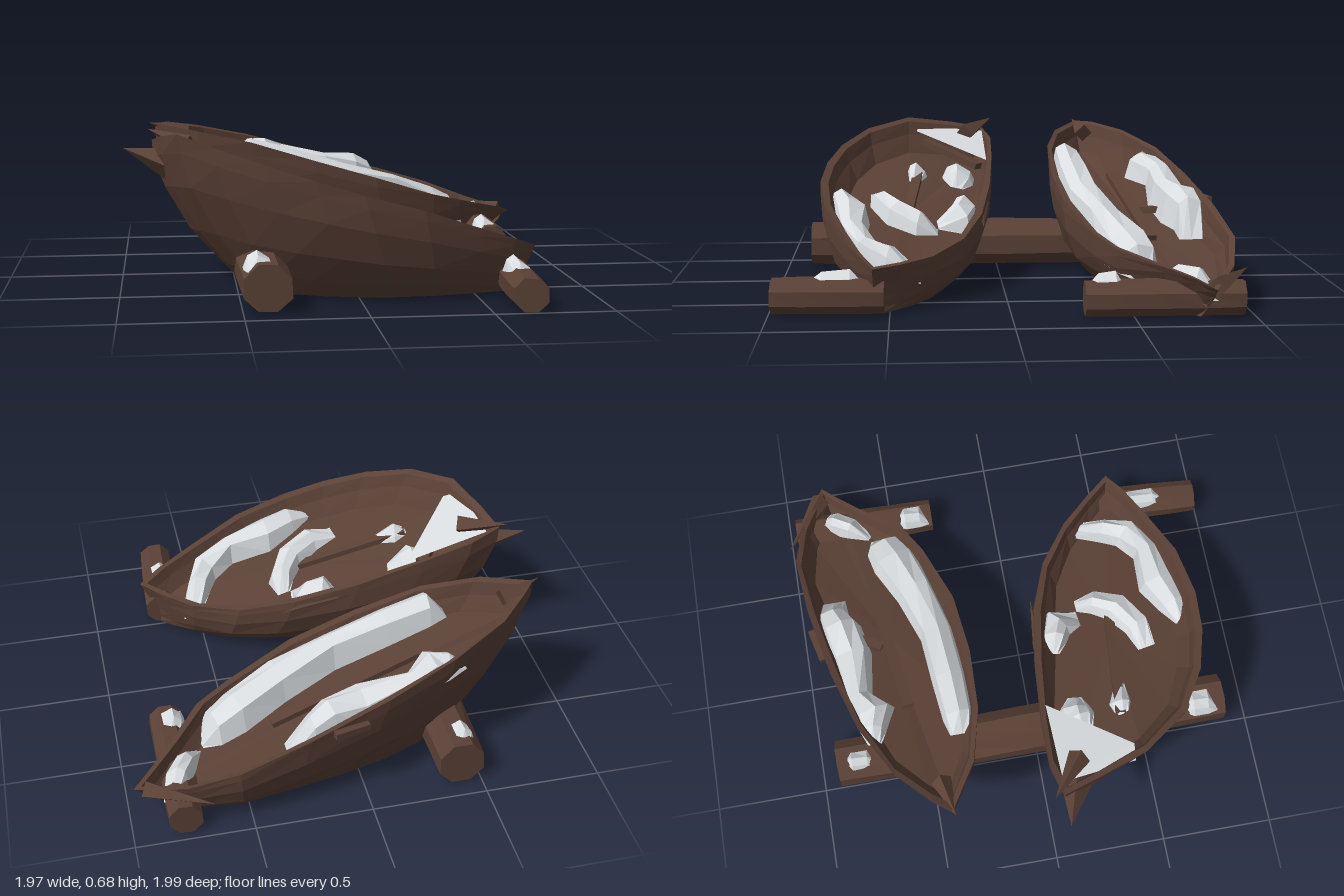
import * as THREE from 'three';

const wood = new THREE.MeshStandardMaterial({ color: 0x5b4136 });
wood.name = 'weathered wood';
const white = new THREE.MeshStandardMaterial({ color: 0xd9dde0, side: THREE.DoubleSide });
white.name = 'snow';

const V = (x, y, z) => new THREE.Vector3(x, y, z);
const wobble = (a, b) => Math.sin(a * 12.9 + b * 7.3) * Math.cos(a * 4.1 - b * 9.7);

// Faceted surface through rows of points
function loft(rows, closed) {
  const n = rows[0].length, pos = [];
  const tri = (...p) => p.forEach(v => pos.push(v.x, v.y, v.z));
  for (let i = 0; i < rows.length - 1; i++) {
    for (let j = 0; j < (closed ? n : n - 1); j++) {
      const k = (j + 1) % n;
      const a = rows[i][j], b = rows[i][k], c = rows[i + 1][k], d = rows[i + 1][j];
      if (a.distanceTo(b) > 1e-5) tri(a, b, c);
      if (c.distanceTo(d) > 1e-5) tri(a, c, d);
    }
  }
  const g = new THREE.BufferGeometry();
  g.setAttribute('position', new THREE.Float32BufferAttribute(pos, 3));
  g.computeVertexNormals();
  return g;
}

function add(group, name, geometry, material) {
  const m = new THREE.Mesh(geometry, material);
  m.name = name;
  group.add(m);
  return m;
}

// Hull from its rim (counter-clockwise from above), with a flat keel and a sunken floor
function hull(group, name, rim, axis, keel, depth) {
  const minX = Math.min(...rim.map(p => p[0])), maxX = Math.max(...rim.map(p => p[0]));
  const foot = rim.map(([x, , z]) => {
    const bx = THREE.MathUtils.mapLinear(x, minX, maxX, keel[0], keel[1]);
    return V(bx, 0, axis(bx) + (z - axis(x)) * 0.5);
  });
  const top = rim.map(p => V(...p));
  const average = loop => loop.reduce((s, p) => s.add(p), V(0, 0, 0)).divideScalar(loop.length);
  const rows = [foot.map(() => average(foot)), foot];
  // full sides, a rounded bow and an overhanging stern tip
  for (const t of [0.14, 0.36, 0.66, 0.88]) {
    const side = 1 - (1 - t) ** 2.9, bow = 1 - (1 - t) ** 1.9, stern = t ** 1.5;
    rows.push(top.map((p, j) => {
      const f = foot[j], e = 0.02 * wobble(j, t * 5);
      const along = THREE.MathUtils.mapLinear(p.x, minX, maxX, 0, 1);
      const kx = bow + (stern - bow) * along;
      return V(f.x + (p.x - f.x) * (kx + e), p.y * t, f.z + (p.z - f.z) * (side + e));
    }));
  }
  rows.push(top);
  const mid = average(top);
  // inner loops: rim edge, wall and floor
  const inset = (d, drop) => top.map(p => {
    const v = mid.clone().sub(p);
    const q = p.clone().addScaledVector(v, d / v.length());
    q.y -= drop;
    return q;
  });
  rows.push(inset(0.035, 0.005), inset(0.055, 0.06), inset(0.11, depth));
  const centre = mid.clone();
  centre.y -= depth;
  rows.push(top.map(() => centre));
  add(group, name, loft(rows, true), wood);
}

// Snow drift along points [x, z, half width, height above the base surface]
function drift(group, name, base, pts, skirt) {
  const rows = pts.map(([x, z, w, h], i) => {
    const a = pts[Math.max(0, i - 1)], b = pts[Math.min(pts.length - 1, i + 1)];
    const l = Math.hypot(b[0] - a[0], b[1] - a[1]);
    const sx = -(b[1] - a[1]) / l, sz = (b[0] - a[0]) / l;
    const end = i === 0 || i === pts.length - 1;
    return [-1, -0.75, 0.1, 0.7, 1].map((s, j) => {
      const px = x + sx * s * w, pz = z + sz * s * w;
      const lift = end || j === 0 || j === 4 ? -skirt : h - (j === 2 ? 0 : 0.025 + 0.015 * wobble(i, j));
      return V(px, base(px, pz) + lift, pz);
    });
  });
  add(group, name, loft(rows, false), white);
}

// Rough log between two points, swelling slightly in the middle
function log(group, name, a, b, r) {
  const length = a.distanceTo(b);
  const g = new THREE.CylinderGeometry(r, r, length, 8, 4).toNonIndexed();
  g.rotateY(Math.PI / 8);
  const p = g.attributes.position;
  for (let i = 0; i < p.count; i++) {
    const swell = 0.08 * (1 - (2 * p.getY(i) / length) ** 2);
    const k = 1 + swell + 0.05 * wobble(p.getX(i) * 9, p.getY(i) * 3 + p.getZ(i) * 8);
    p.setX(i, p.getX(i) * k);
    p.setZ(i, p.getZ(i) * k);
  }
  g.rotateX(Math.PI / 2);
  g.lookAt(b.clone().sub(a));
  g.translate((a.x + b.x) / 2, (a.y + b.y) / 2, (a.z + b.z) / 2);
  for (let i = 0; i < p.count; i++) p.setY(i, Math.max(0, p.getY(i)));
  g.computeVertexNormals();
  add(group, name, g, wood);
}

// Straight board between two points
function board(group, name, a, b, w, h) {
  const m = add(group, name, new THREE.BoxGeometry(w, h, a.distanceTo(b)), wood);
  m.position.copy(a).lerp(b, 0.5);
  m.lookAt(b);
}

// Pointed splinter of broken wood
function splinter(group, name, base, tip, r) {
  const g = new THREE.ConeGeometry(r, base.distanceTo(tip), 4).toNonIndexed();
  g.rotateX(Math.PI / 2);
  g.computeVertexNormals();
  const m = add(group, name, g, wood);
  m.position.copy(base).lerp(tip, 0.5);
  m.lookAt(tip);
}

export function createModel() {
  const model = new THREE.Group();
  model.name = 'boats on logs';

  // Supporting logs
  const logs = new THREE.Group();
  logs.name = 'logs';
  log(logs, 'longLog', V(-0.41, 0.103, -0.92), V(-0.4, 0.103, 0.89), 0.105);
  log(logs, 'backShortLog', V(0.78, 0.07, -0.96), V(0.775, 0.07, -0.3), 0.075);
  log(logs, 'frontShortLog', V(0.68, 0.07, 0.52), V(0.65, 0.07, 0.99), 0.075);
  for (const [x, z, len, w, y] of [[-0.43, -0.81, 0.08, 0.05, 0.2], [-0.43, 0.78, 0.08, 0.065, 0.2], [0.755, -0.39, 0.08, 0.055, 0.145], [0.655, 0.73, 0.13, 0.05, 0.145]])
    drift(logs, 'logSnow', () => y, [[x, z - len, w * 0.6, 0], [x, z - len * 0.5, w, 0.035], [x, z + len * 0.4, w, 0.025], [x - 0.01, z + len, w * 0.7, 0]], 0.035);
  model.add(logs);

  // Front boat
  const front = new THREE.Group();
  front.name = 'frontBoat';
  const frontPlane = (x, z) => 0.354 - 0.309 * x + 0.142 * z;
  hull(front, 'frontHull', [
    [-0.86, 0.62, 0.05], [-0.82, 0.65, 0.2], [-0.75, 0.68, 0.42], [-0.6, 0.64, 0.62], [-0.4, 0.58, 0.74],
    [-0.2, 0.52, 0.8], [0, 0.46, 0.82], [0.25, 0.39, 0.79], [0.5, 0.3, 0.7], [0.67, 0.24, 0.63], [0.77, 0.2, 0.57],
    [0.68, 0.2, 0.46], [0.55, 0.21, 0.32], [0.35, 0.25, 0.18], [0.1, 0.32, 0.09], [-0.2, 0.41, 0.04],
    [-0.5, 0.51, 0.015], [-0.72, 0.58, 0.01]
  ], x => 0.4 + 0.15 * x, [-0.47, 0.7], 0.13);
  splinter(front, 'bowSplinter', V(-0.76, 0.51, 0.12), V(-0.99, 0.585, 0.05), 0.08);
  splinter(front, 'bowPost', V(-0.7, 0.6, 0.14), V(-0.88, 0.665, 0), 0.05);
  board(front, 'floorPlank', V(-0.5, 0.45, 0.37), V(0.02, 0.29, 0.43), 0.045, 0.025);
  splinter(front, 'sideSplinter', V(-0.1, 0.34, 0.08), V(0.17, 0.27, 0.085), 0.03);
  board(front, 'bowSeat', V(-0.71, 0.56, 0.34), V(-0.5, 0.46, 0.08), 0.05, 0.03);
  // flat sheet of snow lying on the bow seat
  const sheet = [[V(-0.8, 0.605, 0.05), V(-0.77, 0.635, 0.37)], [V(-0.42, 0.5, 0.045), V(-0.69, 0.615, 0.38)]];
  add(front, 'bowSeatSnow', loft(sheet, false), white);
  const frontDrifts = [
    [[-0.55, 0.2, 0.04, -0.1], [-0.48, 0.18, 0.08, -0.05], [-0.43, 0.18, 0.07, -0.06], [-0.37, 0.19, 0.03, -0.1]],
    [[-0.12, 0.14, 0.03, -0.06], [-0.05, 0.16, 0.06, -0.01], [0.03, 0.19, 0.08, -0.02], [0.04, 0.29, 0.04, -0.08]],
    [[0.11, 0.29, 0.03, -0.1], [0.11, 0.37, 0.06, -0.04], [0.05, 0.47, 0.07, -0.03], [-0.07, 0.54, 0.06, -0.05], [-0.19, 0.56, 0.04, -0.1]],
    [[-0.12, 0.75, 0.02, -0.06], [0, 0.72, 0.06, -0.03], [0.13, 0.68, 0.085, -0.01], [0.32, 0.67, 0.06, -0.01], [0.45, 0.6, 0.07, -0.02], [0.5, 0.5, 0.06, -0.02], [0.55, 0.36, 0.04, -0.05]],
    [[-0.52, 0.38, 0.03, -0.09], [-0.45, 0.38, 0.05, -0.06], [-0.33, 0.4, 0.02, -0.1]]
  ];
  for (const d of frontDrifts) drift(front, 'frontSnow', frontPlane, d, 0.125);
  model.add(front);

  // Back boat
  const back = new THREE.Group();
  back.name = 'backBoat';
  const backPlane = x => 0.45 - 0.31 * x;
  hull(back, 'backHull', [
    [-0.85, 0.65, -0.43], [-0.65, 0.62, -0.31], [-0.4, 0.57, -0.25], [-0.1, 0.48, -0.24], [0.2, 0.39, -0.27],
    [0.5, 0.29, -0.37], [0.65, 0.25, -0.45], [0.8, 0.2, -0.63], [0.9, 0.17, -0.74], [0.975, 0.14, -0.81],
    [0.77, 0.2, -0.92], [0.55, 0.28, -0.97], [0.25, 0.37, -0.94], [-0.1, 0.47, -0.87], [-0.4, 0.56, -0.78],
    [-0.65, 0.62, -0.65], [-0.79, 0.65, -0.51]
  ], x => -0.6 - 0.2 * x, [-0.45, 0.83], 0.12);
  splinter(back, 'bowPost', V(-0.7, 0.6, -0.46), V(-0.88, 0.655, -0.42), 0.045);
  splinter(back, 'sternSplinter', V(0.92, 0.14, -0.82), V(0.66, 0.17, -1), 0.045);
  board(back, 'floorPlank', V(-0.3, 0.44, -0.55), V(0.36, 0.245, -0.64), 0.05, 0.025);
  board(back, 'crossPlank', V(0.04, 0.32, -0.63), V(0.13, 0.34, -0.8), 0.04, 0.03);
  board(back, 'sideSplinter', V(0, 0.38, -0.9), V(0.15, 0.38, -0.935), 0.03, 0.03);
  const backDrifts = [
    [[-0.46, -0.72, 0.03, -0.06], [-0.39, -0.72, 0.06, -0.03], [-0.31, -0.7, 0.09, 0], [-0.22, -0.76, 0.06, -0.01], [0, -0.77, 0.09, 0.01], [0.15, -0.8, 0.09, 0.05], [0.23, -0.83, 0.07, 0.03], [0.33, -0.83, 0.06, -0.06]],
    [[-0.48, -0.34, 0.05, -0.02], [-0.4, -0.34, 0.07, 0.01], [-0.2, -0.35, 0.08, 0.02], [0.05, -0.37, 0.08, 0.02], [0.3, -0.44, 0.09, 0.03], [0.5, -0.51, 0.11, 0.02], [0.6, -0.55, 0.09, 0], [0.66, -0.56, 0.05, -0.04]],
    [[0.83, -0.85, 0.03, -0.05], [0.79, -0.77, 0.06, -0.01], [0.74, -0.69, 0.05, -0.02], [0.68, -0.61, 0.02, -0.06]]
  ];
  for (const d of backDrifts) drift(back, 'backSnow', backPlane, d, 0.115);
  model.add(back);

  return model;
}
